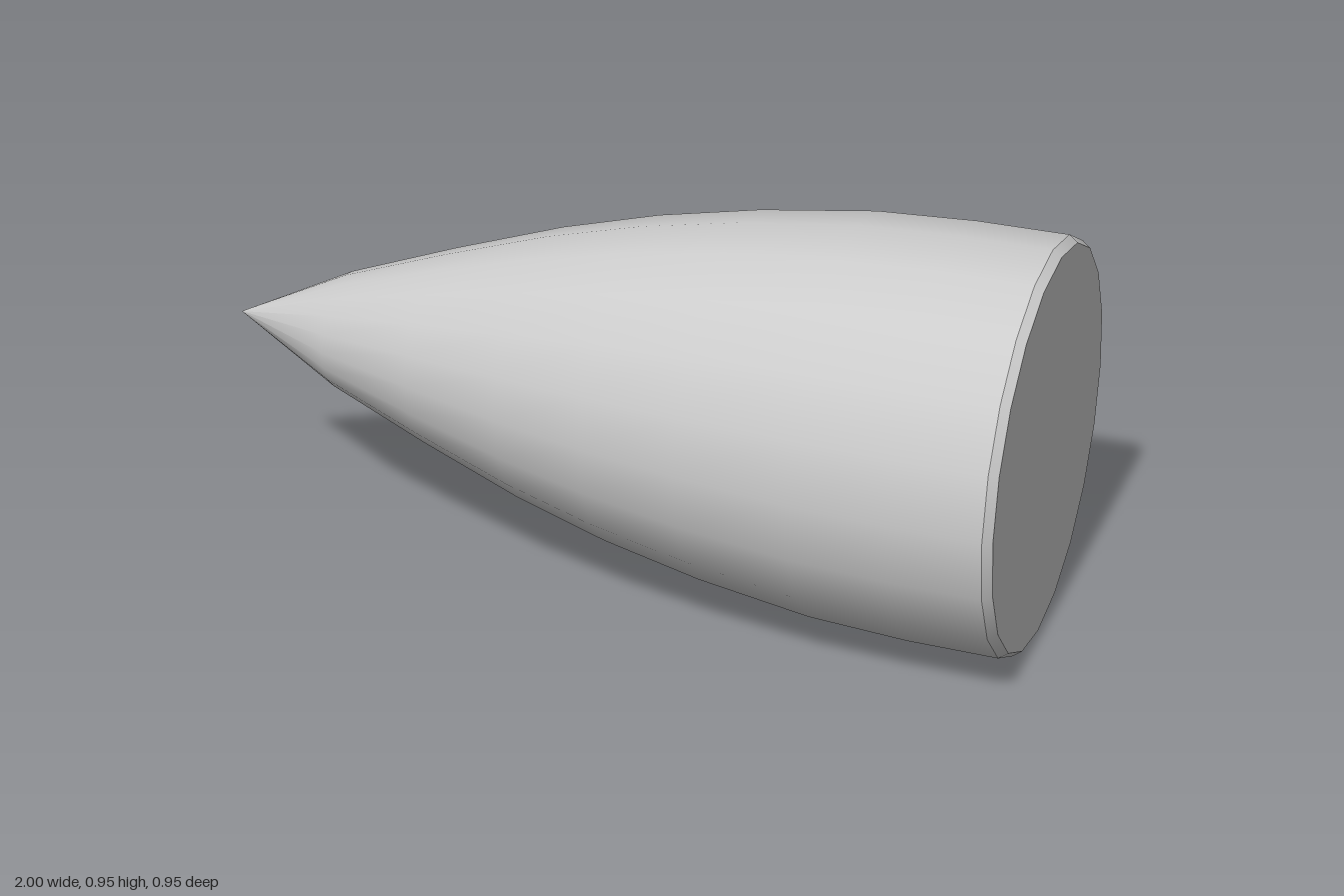
import * as THREE from 'three';

const SIDES = 20;
const AXIS_HEIGHT = 0.48;

// Turns [x, radius] points, listed from the rear towards the tip, around the x axis
function turned(name, profile, material) {
  const points = profile.map(([x, r]) => new THREE.Vector2(r, -x));
  const geometry = new THREE.LatheGeometry(points, SIDES).rotateZ(Math.PI / 2);
  const mesh = new THREE.Mesh(geometry, material);
  mesh.name = name;
  return mesh;
}

export function createModel() {
  const group = new THREE.Group();
  group.name = 'noseCone';
  const material = new THREE.MeshStandardMaterial({ color: 0xcccccc });

  // Smooth pointed hull, straight at the rear and tapering to the tip
  const hull = turned('hull', [
    [0.98, 0.477], [0.77, 0.477], [0.54, 0.466], [0.27, 0.43], [0.03, 0.383],
    [-0.2, 0.322], [-0.46, 0.235], [-0.72, 0.14], [-1, 0],
  ], material);

  // Narrow bevel around the rear edge
  const bevel = turned('rearBevel', [[1, 0.462], [0.98, 0.477]], material);

  // Flat rear cap
  const cap = turned('rearCap', [[1, 0], [1, 0.462]], material);

  group.add(hull, bevel, cap);
  group.position.y = AXIS_HEIGHT;

  const model = new THREE.Group();
  model.add(group);
  return model;
}
